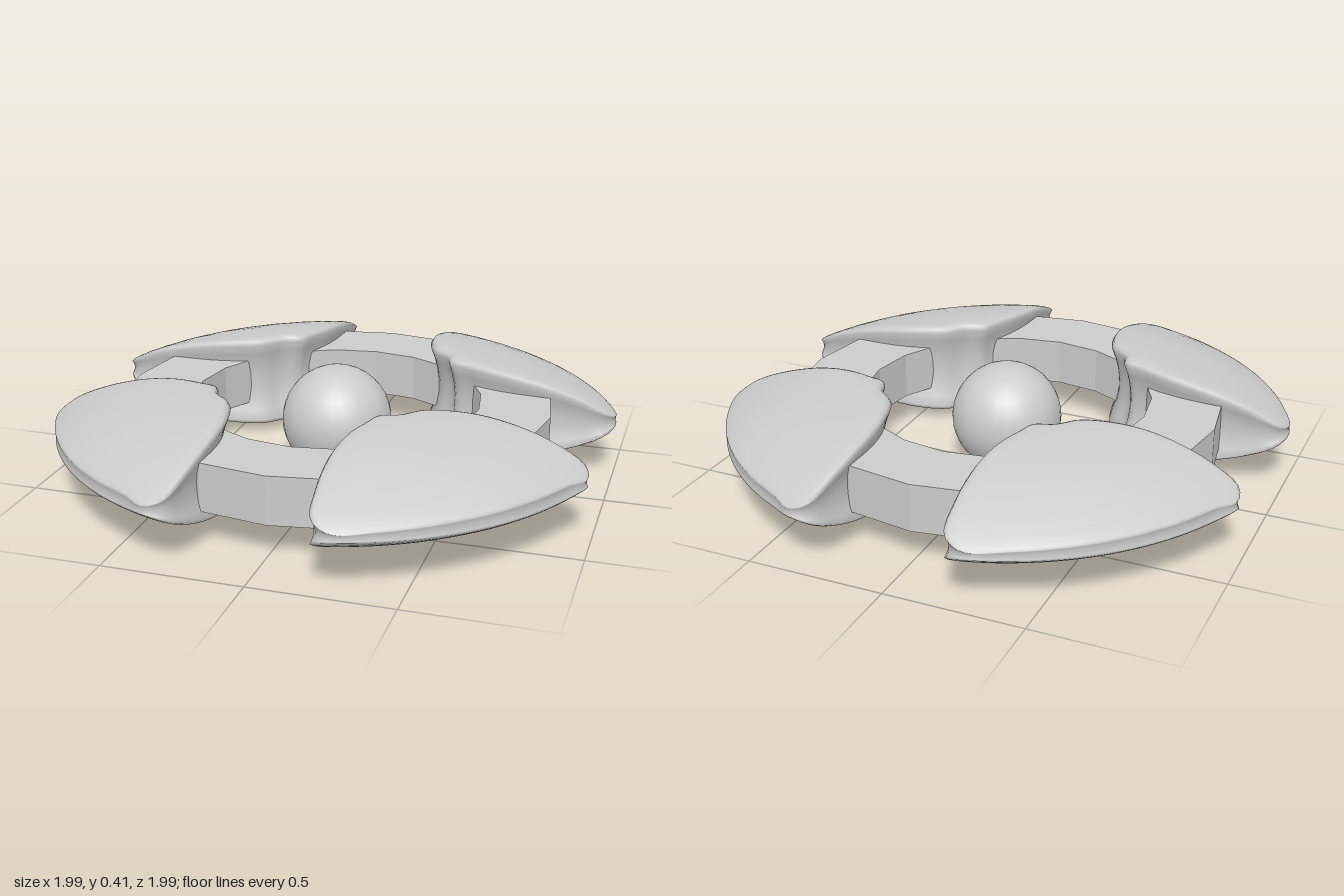
import * as THREE from 'three';
import { mergeVertices } from 'three/addons/utils/BufferGeometryUtils.js';

const MID_Y = 0.207;

// Plan outline of one pod as (x, z), from the inner tip along one side and round the outer arc
const OUTLINE = [
  [0.255, 0.37], [0.235, 0.43], [0.2, 0.54], [0.183, 0.67], [0.19, 0.85], [0.212, 0.97], [0.28, 0.998],
  [0.42, 0.945], [0.58, 0.85], [0.73, 0.72], [0.85, 0.57], [0.93, 0.43], [0.977, 0.345],
  [0.957, 0.28], [0.85, 0.245], [0.6, 0.222], [0.46, 0.245], [0.385, 0.275], [0.365, 0.295], [0.318, 0.345],
];

// Half thickness of a pod: full near the middle, tapering to the outer rim
function halfThickness(x, z) {
  const d = Math.min(1, Math.max(0, (Math.hypot(x, z) - 0.43) / 0.625));
  return Math.max(0.012, 0.182 * Math.pow(1 - d * d, 0.8));
}

// Pod surface: rings run from the top centre over the rim, down the hollow wall, to the bottom centre
function podGeometry() {
  const curve = new THREE.CatmullRomCurve3(OUTLINE.map(([x, z]) => new THREE.Vector3(x, 0, z)), true);
  const loop = curve.getSpacedPoints(96).slice(0, 96);
  const cx = 0.56, cz = 0.57;

  // [scale from centre, fraction of the half thickness, is wall]
  const top = [[0, 1], [0.25, 1], [0.5, 1], [0.7, 1], [0.85, 1], [0.93, 0.985], [0.975, 0.95], [1, 0.86]];
  const wall = [0.65, 0.4, 0.15, -0.15, -0.4, -0.65].map((f) => [1, f, true]);
  const bottom = top.map(([s, f]) => [s, -f]).reverse();
  const rings = [...top, ...wall, ...bottom];

  const positions = [], index = [], n = loop.length;
  for (const [s, f, isWall] of rings) {
    for (const p of loop) {
      const rimH = halfThickness(p.x, p.z);
      const hollow = isWall ? 0.1 * (rimH / 0.182) * (1 - (f / 0.86) ** 2) : 0;
      const k = s - hollow;
      const x = cx + (p.x - cx) * k, z = cz + (p.z - cz) * k;
      positions.push(x, MID_Y + f * (isWall ? rimH : halfThickness(x, z)), z);
    }
  }
  for (let i = 0; i < rings.length - 1; i++) {
    for (let j = 0; j < n; j++) {
      const j2 = (j + 1) % n;
      const a = i * n + j, b = a + n, c = (i + 1) * n + j2, d = i * n + j2;
      index.push(a, b, c, a, c, d);
    }
  }
  const g = new THREE.BufferGeometry();
  g.setAttribute('position', new THREE.Float32BufferAttribute(positions, 3));
  g.setIndex(index);
  const merged = mergeVertices(g, 1e-5);
  merged.computeVertexNormals();
  return merged;
}

export function createModel() {
  const group = new THREE.Group();
  const smooth = new THREE.MeshStandardMaterial({ color: 0xcccccc });
  const faceted = new THREE.MeshStandardMaterial({ color: 0xcccccc, flatShading: true });

  // Central ball
  const ball = new THREE.Mesh(new THREE.SphereGeometry(0.203, 32, 20), smooth);
  ball.position.y = 0.203;
  ball.name = 'centreBall';
  group.add(ball);

  // Faceted ring with a rectangular section
  const section = [[0.533, 0.12], [0.793, 0.12], [0.793, 0.295], [0.533, 0.295], [0.533, 0.12]]
    .map(([r, y]) => new THREE.Vector2(r, y));
  const ring = new THREE.Mesh(new THREE.LatheGeometry(section, 20), faceted);
  ring.name = 'ring';
  group.add(ring);

  // Four pods, one per quarter turn
  const pod = podGeometry();
  for (let k = 0; k < 4; k++) {
    const mesh = new THREE.Mesh(pod, smooth);
    mesh.rotation.y = k * Math.PI / 2;
    mesh.name = `pod${k + 1}`;
    group.add(mesh);
  }
  return group;
}
